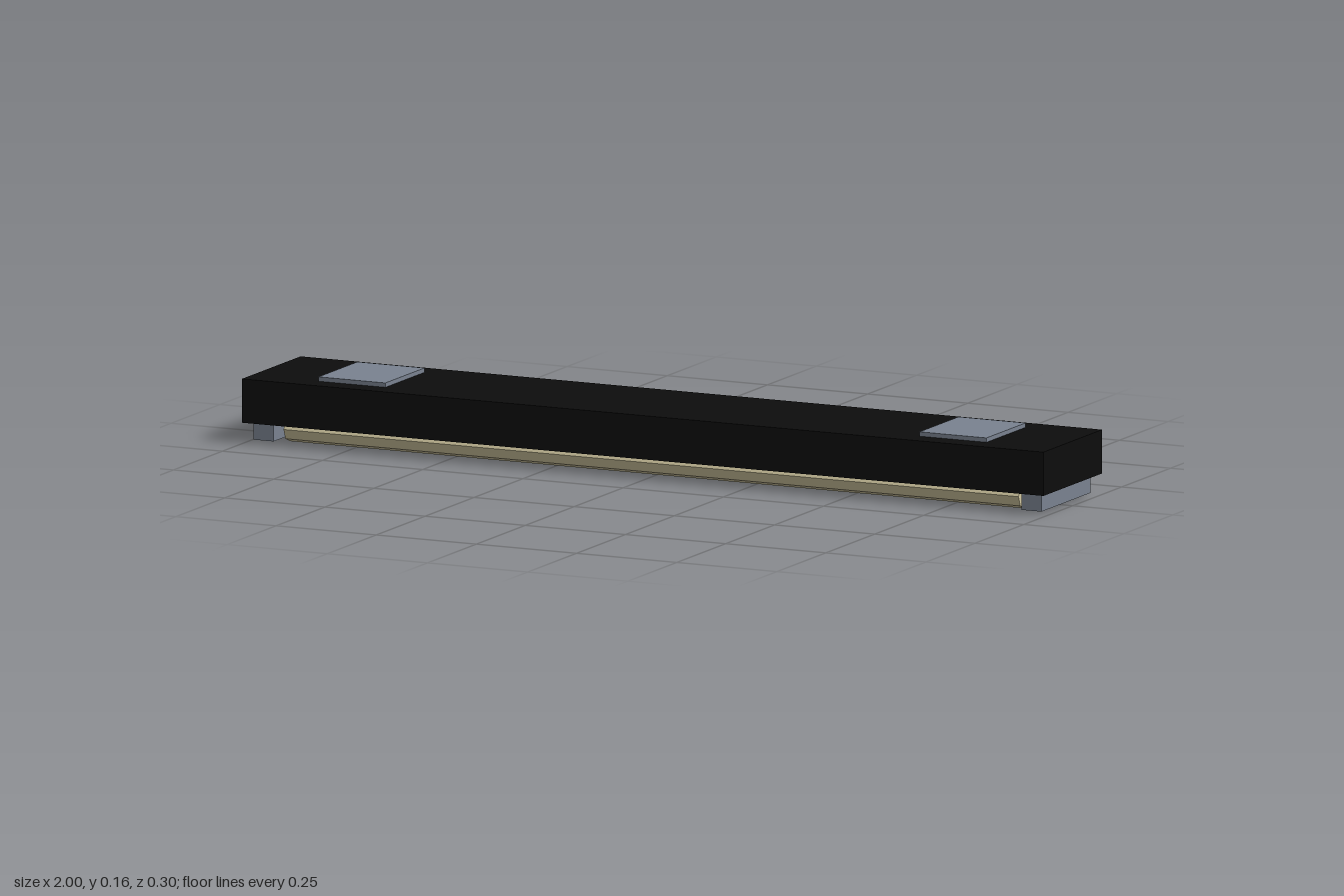
import * as THREE from 'three';

export function createModel() {
  const group = new THREE.Group();
  const mat = (name, color, flatShading = false) => {
    const m = new THREE.MeshStandardMaterial({ color, flatShading });
    m.name = name;
    return m;
  };
  const black = mat('black housing', 0x0d0d0d);
  const grey = mat('blue grey metal', 0x7a8391);
  const cream = mat('cream lamp', 0xd6cca4, true);

  const add = (name, geometry, material, x, y, z) => {
    const mesh = new THREE.Mesh(geometry, material);
    mesh.name = name;
    mesh.position.set(x, y, z);
    group.add(mesh);
    return mesh;
  };

  // Long housing
  add('housing', new THREE.BoxGeometry(2, 0.1, 0.3), black, 0, 0.098, 0);

  // Mounting plates on top and end brackets underneath
  const plate = new THREE.BoxGeometry(0.167, 0.02, 0.2);
  const bracket = new THREE.BoxGeometry(0.05, 0.042, 0.25);
  for (const [side, s] of [['left', 1], ['right', -1]]) {
    add(`${side}MountingPlate`, plate, grey, s * 0.75, 0.148, 0);
    add(`${side}EndBracket`, bracket, grey, s * 0.958, 0.0275, 0);
  }

  // Two eight-sided lamp tubes, an edge pointing straight down
  const radius = 0.032;
  const tube = new THREE.CylinderGeometry(radius, radius, 1.834, 8);
  tube.rotateZ(Math.PI / 2);
  for (const [side, s] of [['front', 1], ['back', -1]]) {
    add(`${side}LampTube`, tube, cream, 0, radius, s * 0.075);
  }

  return group;
}
